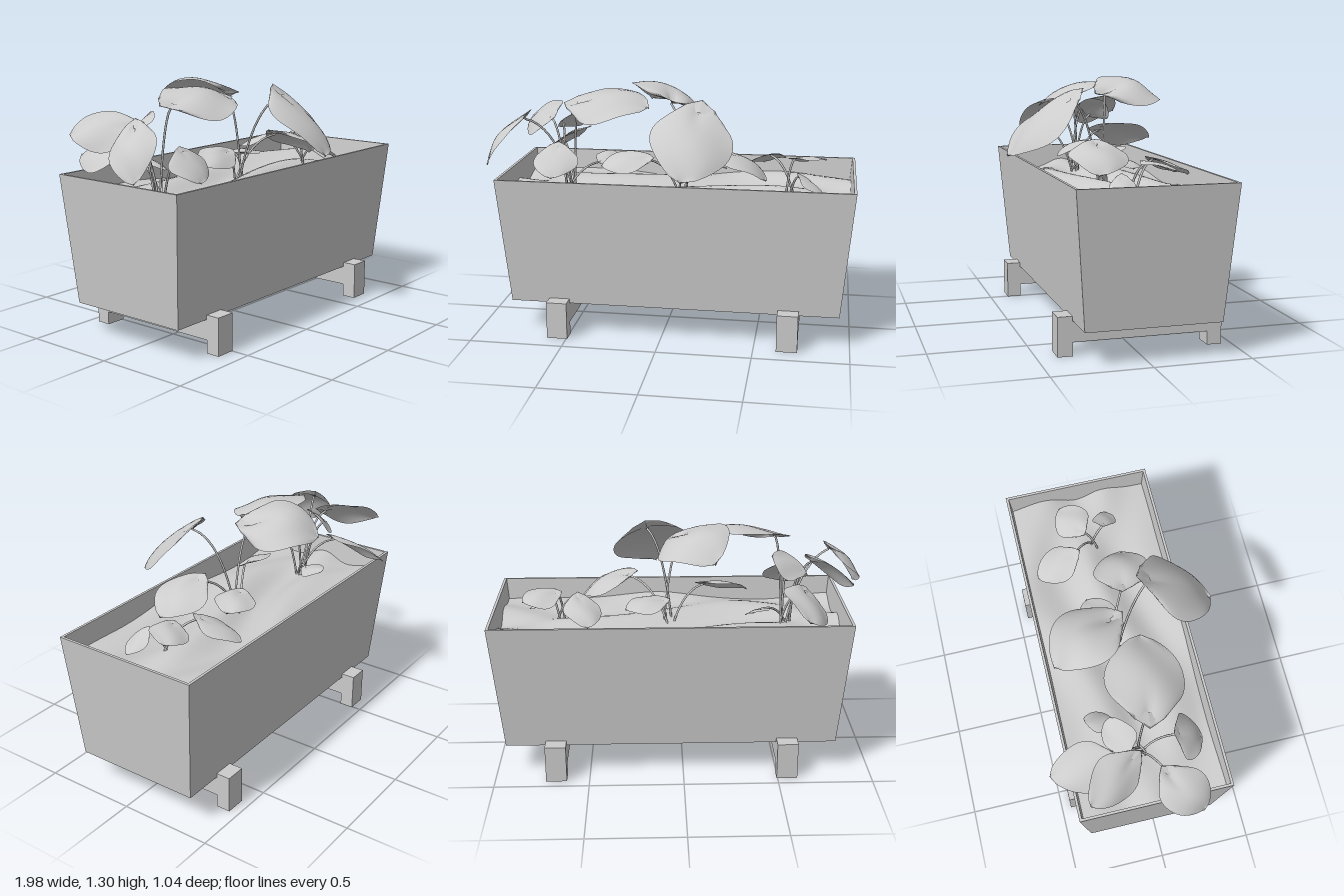
import * as THREE from 'three';

const grey = new THREE.MeshStandardMaterial({ color: 0xcccccc });
const greyFlat = new THREE.MeshStandardMaterial({ color: 0xcccccc, flatShading: true });
const greyThin = new THREE.MeshStandardMaterial({ color: 0xcccccc, side: THREE.DoubleSide });
const V = (x, y, z) => new THREE.Vector3(x, y, z);
const CX = 0.064, CZ = -0.025;

function add(parent, name, geometry, material) {
  const mesh = new THREE.Mesh(geometry, material);
  mesh.name = name;
  parent.add(mesh);
  return mesh;
}

// Rectangular rings [y, halfX, halfZ] joined in order by flat quads
function ringShell(rings) {
  const pos = [];
  const signs = [[-1, 1], [1, 1], [1, -1], [-1, -1]];
  const corner = ([y, hx, hz], i) => [signs[i % 4][0] * hx, y, signs[i % 4][1] * hz];
  for (let r = 0; r < rings.length - 1; r++) {
    for (let i = 0; i < 4; i++) {
      const a = corner(rings[r], i), b = corner(rings[r], i + 1);
      const c = corner(rings[r + 1], i + 1), d = corner(rings[r + 1], i);
      pos.push(...a, ...b, ...c, ...a, ...c, ...d);
    }
  }
  const g = new THREE.BufferGeometry();
  g.setAttribute('position', new THREE.Float32BufferAttribute(pos, 3));
  g.computeVertexNormals();
  return g;
}

// Gently uneven soil surface
function soilGeometry() {
  const g = new THREE.PlaneGeometry(1.826, 0.756, 56, 28).rotateX(-Math.PI / 2);
  const p = g.attributes.position;
  for (let i = 0; i < p.count; i++) {
    const x = p.getX(i), z = p.getZ(i);
    p.setY(i, 0.014 * Math.sin(5 * x + 3 * Math.sin(7 * z)) + 0.014 * Math.sin(19 * z + 2 * Math.sin(4 * x)));
  }
  g.computeVertexNormals();
  return g;
}

// Heart-shaped leaf bent between its stalk end and its tip; positive roll lifts its right edge
function leafGeometry(base, tip, width, arch, roll) {
  const dir = tip.clone().sub(base);
  const length = dir.length();
  dir.normalize();
  const flat = dir.clone().cross(V(0, 1, 0)).normalize();
  const up = flat.clone().cross(dir);
  const side = flat.multiplyScalar(Math.cos(roll)).addScaledVector(up, Math.sin(roll));
  const normal = side.clone().cross(dir);
  const g = new THREE.PlaneGeometry(2, 1, 12, 16);
  const p = g.attributes.position;
  for (let i = 0; i < p.count; i++) {
    const s = p.getX(i), t = p.getY(i) + 0.5;
    const half = width / 2 * Math.pow(Math.max(0, Math.sin(Math.PI * Math.pow(t, 0.75))), 0.62);
    const back = 0.2 * Math.sin(Math.PI * Math.abs(s)) * Math.pow(1 - t, 3);
    const lift = arch * Math.sin(Math.PI * t) - 0.2 * half * s * s
      + 0.04 * width * s * Math.sin(7 * t + 2 * s);
    const v = base.clone().addScaledVector(dir, length * (t - back))
      .addScaledVector(side, half * s).addScaledVector(normal, lift);
    p.setXYZ(i, v.x, v.y, v.z);
  }
  g.computeVertexNormals();
  return g;
}

// Stalk rising from the soil and leaning out to its leaf
function stalkGeometry(root, end) {
  const mid = V(root.x * 0.65 + end.x * 0.35, root.y * 0.15 + end.y * 0.85 + 0.02, root.z * 0.65 + end.z * 0.35);
  return new THREE.TubeGeometry(new THREE.QuadraticBezierCurve3(root, mid, end), 12, 0.006, 6);
}

// Per plant: root, then leaves as [stalk end, tip, width, arch, roll]
const PLANTS = [
  {
    root: [-0.56, -0.03],
    leaves: [
      [[-0.64, 0.96, -0.2], [-0.62, 0.91, -0.52], 0.28, 0.03, 0.6],
      [[-0.68, 1.1, -0.11], [-0.85, 1.06, -0.36], 0.27, 0.03, 0.75],
      [[-0.79, 1.12, 0.04], [-0.96, 0.89, 0.19], 0.25, 0.06, -0.4],
      [[-0.58, 0.99, 0.15], [-0.59, 0.85, 0.28], 0.25, 0.02, 0],
      [[-0.62, 1.06, -0.14], [-0.46, 1.15, -0.17], 0.19, 0.01, 0.6],
      [[-0.5, 1.2, 0.01], [-0.1, 1.2, 0.07], 0.42, 0.06, -0.3],
      [[-0.41, 0.85, -0.15], [-0.36, 0.88, -0.29], 0.13, 0.01, -0.3],
    ],
  },
  {
    root: [0.07, -0.02],
    leaves: [
      [[0.0, 1.21, -0.05], [-0.16, 1.17, -0.38], 0.4, 0.1, -0.35],
      [[0.18, 1.2, 0.18], [0.13, 0.91, 0.51], 0.43, 0.05, 0.3],
      [[0.28, 0.97, 0.07], [0.53, 0.84, 0.13], 0.31, 0.05, 0.1],
      [[0.1, 0.87, -0.07], [0.3, 0.84, -0.12], 0.22, 0.03, 0.1],
      [[-0.12, 0.92, 0.06], [-0.36, 0.88, 0.08], 0.2, 0.03, 0.45],
    ],
  },
  {
    root: [0.65, 0],
    leaves: [
      [[0.54, 0.92, -0.14], [0.49, 0.83, -0.35], 0.2, 0.02, 0.1],
      [[0.67, 0.92, -0.07], [0.84, 0.9, -0.15], 0.2, 0.02, 0.25],
      [[0.71, 0.86, 0.07], [0.83, 0.77, 0.1], 0.13, 0.01, 0],
    ],
  },
];

export function createModel() {
  const model = new THREE.Group();
  model.name = 'planter';

  // Tapered trough: underside, outer wall, rim, inner wall, floor
  const trough = add(model, 'trough', ringShell([
    [0.175, 0, 0], [0.175, 0.877, 0.345], [0.857, 0.935, 0.4],
    [0.857, 0.921, 0.386], [0.69, 0.907, 0.372], [0.69, 0, 0],
  ]), greyFlat);
  trough.position.set(CX, 0, CZ);

  const soil = add(model, 'soil', soilGeometry(), grey);
  soil.position.set(CX, 0.745, CZ);

  // Two H-shaped foot frames
  for (const x of [-0.55, 0.675]) {
    const frame = new THREE.Group();
    frame.name = 'footFrame';
    frame.position.set(x, 0, CZ);
    for (const s of [1, -1]) {
      add(frame, 'foot', new THREE.BoxGeometry(0.11, 0.2, 0.076), greyFlat).position.set(0, 0.1, s * 0.386);
    }
    add(frame, 'crossbar', new THREE.BoxGeometry(0.11, 0.104, 0.7), greyFlat).position.set(0, 0.122, 0);
    model.add(frame);
  }

  // Plants
  for (const { root, leaves } of PLANTS) {
    const plant = new THREE.Group();
    plant.name = 'plant';
    leaves.forEach(([end, tip, width, arch, roll], i) => {
      const a = i * 2.4;
      const foot = V(root[0] + 0.025 * Math.cos(a), 0.72, root[1] + 0.025 * Math.sin(a));
      add(plant, 'stalk', stalkGeometry(foot, V(...end)), grey);
      add(plant, 'leaf', leafGeometry(V(...end), V(...tip), width, arch, roll), greyThin);
    });
    model.add(plant);
  }
  return model;
}
